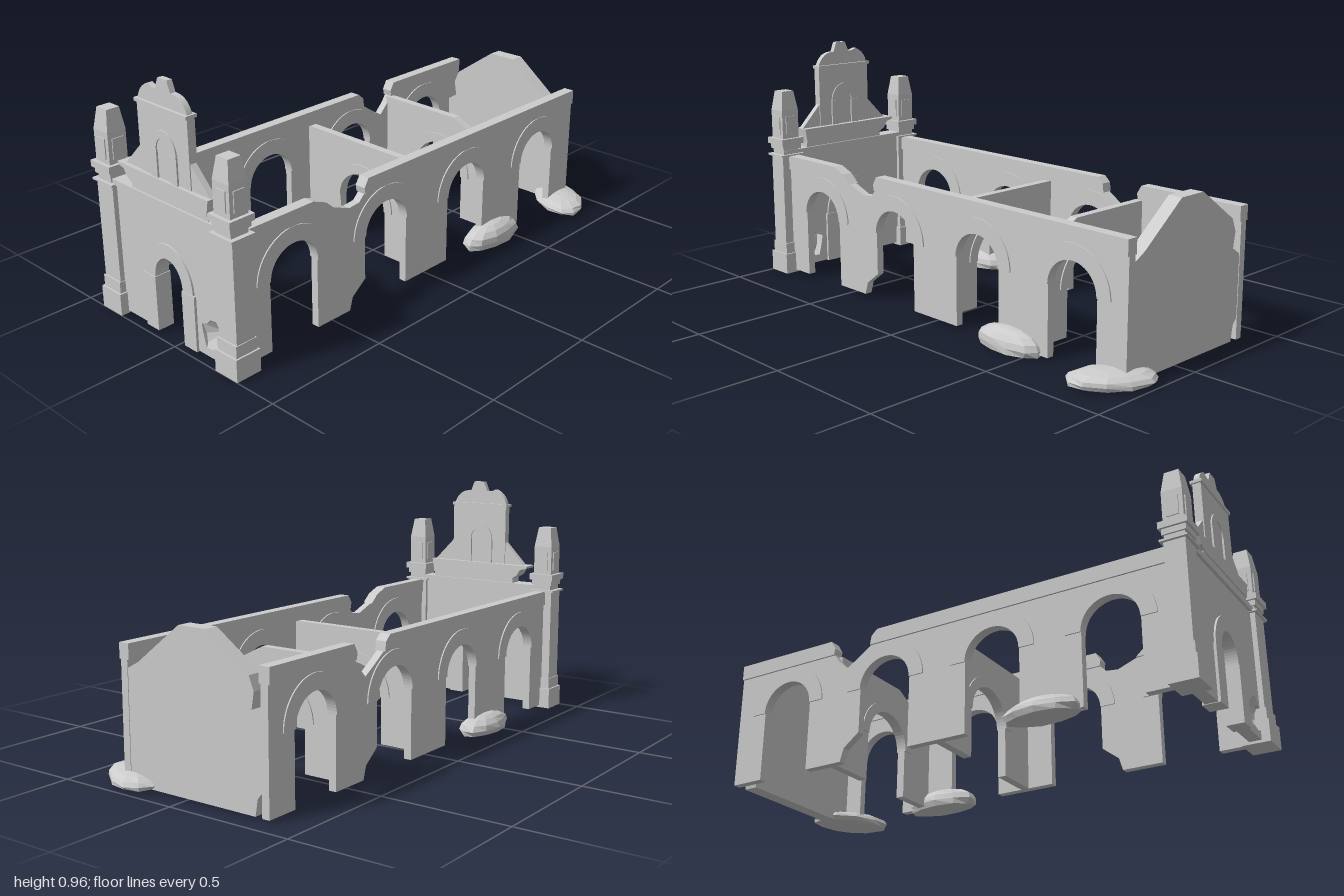
import * as THREE from 'three';

const mat = new THREE.MeshStandardMaterial({ color: 0xcccccc, flatShading: true });
const matOpen = new THREE.MeshStandardMaterial({ color: 0xcccccc, flatShading: true, side: THREE.DoubleSide });
const CX = -0.043; // symmetry axis of the building
const FZ = 0.945; // middle of the facade

const poly = (pts) => new THREE.Shape(pts.map(([x, y]) => new THREE.Vector2(x, y)));

// Flat shape extruded evenly about z = 0
function slab(shape, depth) {
  const geo = new THREE.ExtrudeGeometry(shape, { depth, bevelEnabled: false, curveSegments: 14 });
  return geo.translate(0, 0, -depth / 2);
}

function add(parent, name, geo, x = 0, y = 0, z = 0, material = mat) {
  const mesh = new THREE.Mesh(geo, material);
  mesh.name = name;
  mesh.position.set(x, y, z);
  parent.add(mesh);
  return mesh;
}

// Block given by its centre in plan and its bottom and top heights
function block(parent, name, x, z, w, d, y0, y1) {
  return add(parent, name, new THREE.BoxGeometry(w, y1 - y0, d), x, (y0 + y1) / 2, z);
}

// Curved band over an opening
function archBand(c, spring, ro, hо, ri, hi) {
  const s = new THREE.Shape();
  s.moveTo(c - ro, spring);
  s.absellipse(c, spring, ro, hо, Math.PI, 0, true);
  s.lineTo(c + ri, spring);
  s.absellipse(c, spring, ri, hi, 0, Math.PI, false);
  return s;
}

// Wall standing on the ground with arched doorways; top runs from right to left.
// chip = [opening index, side] breaks off the foot of one jamb.
function archedWall(u0, u1, openings, top, chip = []) {
  const s = new THREE.Shape();
  const y = 0.01;
  s.moveTo(u0, y);
  openings.forEach(({ c, r, h, spring }, i) => {
    if (chip[0] === i && chip[1] < 0) {
      s.lineTo(c - r - 0.08, y);
      s.lineTo(c - r - 0.065, 0.06);
      s.lineTo(c - r, 0.11);
    } else s.lineTo(c - r, y);
    s.lineTo(c - r, spring);
    s.absellipse(c, spring, r, h, Math.PI, 0, true);
    if (chip[0] === i && chip[1] > 0) {
      s.lineTo(c + r, 0.11);
      s.lineTo(c + r + 0.065, 0.06);
      s.lineTo(c + r + 0.08, y);
    } else s.lineTo(c + r, y);
  });
  s.lineTo(u1, y);
  top.forEach(([u, v]) => s.lineTo(u, v));
  return s;
}

// Long arcade with a broken gap in its top
function arcade(name, x, notch, capGap, chip) {
  const g = new THREE.Group();
  g.name = name;
  const centres = [-0.69, -0.23, 0.23, 0.69];
  const openings = centres.map((c) => ({ c, r: 0.11, h: 0.107, spring: 0.28 }));
  const top = [[0.92, 0.45], ...notch, [-0.93, 0.45]];
  const side = (geo) => geo.rotateY(-Math.PI / 2);
  add(g, 'arcadeWall', side(slab(archedWall(-0.93, 0.92, openings, top, chip), 0.03)));
  for (const c of centres) {
    add(g, 'archMoulding', side(slab(archBand(c, 0.28, 0.17, 0.168, 0.11, 0.107), 0.04)));
  }
  const [a, b] = [notch[0], notch[notch.length - 1]];
  const [capA, capB] = capGap;
  const front = [[a[0], 0.45], [0.92, 0.45], [0.92, 0.508], [capA, 0.508], [(capA + a[0]) / 2 - 0.01, 0.485]];
  const rear = [[-0.93, 0.45], [b[0], 0.45], [(capB + b[0]) / 2 + 0.012, 0.475], [capB, 0.508], [-0.93, 0.508]];
  for (const p of [front, rear]) add(g, 'arcadeCornice', side(slab(poly(p), 0.044)));
  g.position.x = x;
  return g;
}

// Corner pier with pedestal, capital and obelisk
function cornerPier(x) {
  const g = new THREE.Group();
  g.name = 'cornerPier';
  const tiers = [
    ['pedestal', 0.11, 0.105, 0, 0.085],
    ['pedestalStep', 0.096, 0.09, 0.085, 0.13],
    ['pierShaft', 0.09, 0.078, 0.13, 0.51],
    ['capitalSlab', 0.112, 0.1, 0.506, 0.514],
    ['capitalNeck', 0.076, 0.074, 0.514, 0.535],
    ['capitalBand', 0.09, 0.088, 0.535, 0.557],
    ['capitalTop', 0.108, 0.106, 0.557, 0.582],
  ];
  for (const [n, w, d, y0, y1] of tiers) block(g, n, 0, 0, w, d, y0, y1);
  block(g, 'obeliskBase', 0, 0, 0.08, 0.076, 0.582, 0.7);
  const taper = new THREE.CylinderGeometry(0.028 * Math.SQRT2, 0.04 * Math.SQRT2, 0.08, 4);
  add(g, 'obeliskTop', taper.rotateY(Math.PI / 4).scale(1, 1, 0.95), 0, 0.74, 0);
  block(g, 'obeliskPanel', 0, 0, 0.047, 0.084, 0.6, 0.676);
  block(g, 'obeliskSidePanel', 0, 0, 0.088, 0.045, 0.6, 0.676);
  g.position.set(x, 0, FZ + 0.0025);
  return g;
}

function facade() {
  const g = new THREE.Group();
  g.name = 'facade';
  const door = { c: CX, r: 0.075, h: 0.093, spring: 0.22 };
  const wall = archedWall(-0.35, 0.26, [door], [[0.26, 0.51], [-0.35, 0.51]]);
  // Breach low in the wall, with a ragged edge
  const rim = [];
  for (let i = 0; i < 14; i++) {
    const a = (i / 14) * Math.PI * 2;
    const r = 0.061 + 0.009 * Math.sin(i * 2.3);
    rim.push(new THREE.Vector2(0.18 + r * Math.cos(a), 0.096 + r * Math.sin(a)));
  }
  wall.holes.push(new THREE.Path(rim));
  add(g, 'facadeWall', slab(wall, 0.046), 0, 0, FZ);
  const crater = new THREE.ConeGeometry(0.072, 0.05, 11, 3, true).rotateX(-Math.PI / 2);
  add(g, 'crater', crater, 0.18, 0.096, FZ - 0.005, matOpen);

  // Doorway surround
  add(g, 'doorArch', slab(archBand(CX, 0.22, 0.13, 0.148, 0.075, 0.093), 0.06), 0, 0, FZ);
  for (const s of [-1, 1]) block(g, 'doorJamb', CX + s * 0.105, FZ, 0.066, 0.066, 0.008, 0.22);

  // Entablature and flared moulding, its left lower corner broken away
  block(g, 'entablature', CX - 0.002, FZ, 0.7, 0.07, 0.508, 0.53);
  block(g, 'atticStep', CX + 0.03, FZ, 0.4, 0.056, 0.53, 0.551);
  const flare = [[-0.21, 0.549], [0.187, 0.549], [0.197, 0.608], [-0.284, 0.608], [-0.278, 0.597], [-0.25, 0.59], [-0.235, 0.565]];
  add(g, 'flaredMoulding', slab(poly(flare), 0.066), 0, 0, FZ);

  // Bell gable with sloping shoulders
  block(g, 'gableWall', -0.031, 0.95, 0.262, 0.032, 0.606, 0.856);
  for (const s of [-1, 1]) {
    const x0 = -0.031 + s * 0.13;
    const p = [[x0, 0.606], [x0 + s * 0.094, 0.606], [x0, 0.702]];
    add(g, 'gableShoulder', slab(poly(s > 0 ? p : p.reverse()), 0.024), 0, 0, 0.95);
  }
  block(g, 'gableCornice', -0.033, 0.95, 0.272, 0.046, 0.856, 0.868);
  const crest = new THREE.Shape();
  crest.moveTo(-0.161, 0.866);
  crest.quadraticCurveTo(-0.152, 0.91, -0.105, 0.93);
  crest.quadraticCurveTo(-0.08, 0.918, -0.064, 0.922);
  crest.lineTo(-0.047, 0.962);
  crest.lineTo(0, 0.962);
  crest.lineTo(0.016, 0.922);
  crest.quadraticCurveTo(0.075, 0.925, 0.097, 0.866);
  add(g, 'gableCrest', slab(crest, 0.022), 0, 0, 0.95);

  // Blind niche framed on both faces
  const nx = -0.03;
  add(g, 'nicheArch', slab(archBand(nx, 0.71, 0.067, 0.075, 0.038, 0.047), 0.042), 0, 0, 0.95);
  for (const s of [-1, 1]) block(g, 'nicheJamb', nx + s * 0.052, 0.95, 0.034, 0.046, 0.606, 0.711);

  g.add(cornerPier(-0.36), cornerPier(0.274));
  return g;
}

// Low heap of fallen stone, flat underneath
function rubble(parent, x, z, rx, rz, h, turn) {
  const geo = new THREE.SphereGeometry(1, 11, 8);
  const p = geo.attributes.position;
  for (let i = 0; i < p.count; i++) {
    const [a, b, c] = [p.getX(i), p.getY(i), p.getZ(i)];
    const k = 1 + 0.05 * Math.sin(5 * a + 3 * c + 4 * b);
    p.setXYZ(i, a * rx * k, Math.max(0.002, 0.025 + b * (h - 0.025)), c * rz * k);
  }
  geo.computeVertexNormals();
  add(parent, 'rubble', geo, x, 0, z).rotation.y = turn;
}

export function createModel() {
  const model = new THREE.Group();
  model.name = 'ruinedChurch';
  model.add(facade());

  // Side arcades
  model.add(arcade('rightArcade', 0.266,
    [[0.5, 0.45], [0.42, 0.42], [0.37, 0.425], [0.345, 0.45]], [0.6, 0.33], [2, 1]));
  model.add(arcade('leftArcade', -0.355,
    [[-0.3, 0.45], [-0.36, 0.41], [-0.41, 0.38], [-0.45, 0.42], [-0.47, 0.45]], [-0.27, -0.485], [1, -1]));

  // Cross walls with a central arch
  const inner = { c: CX, r: 0.12, h: 0.12, spring: 0.2 };
  const tops = {
    0: [[0.255, 0.45], [-0.345, 0.45]],
    '-0.47': [[0.255, 0.38], [0.2, 0.37], [0.11, 0.41], [0.03, 0.45], [-0.345, 0.45]],
  };
  for (const [z, top] of Object.entries(tops)) {
    add(model, 'crossWall', slab(archedWall(-0.345, 0.255, [inner], top), 0.032), 0, 0, +z);
    add(model, 'crossArch', slab(archBand(CX, 0.2, 0.16, 0.16, 0.12, 0.12), 0.042), 0, 0, +z);
  }

  // Gabled rear wall
  const rear = [[-0.31, 0.01], [0.255, 0.01], [0.255, 0.42], [0.2, 0.45], [0.01, 0.597], [-0.11, 0.597],
    [-0.29, 0.47], [-0.31, 0.42], [-0.3, 0.36], [-0.345, 0.33], [-0.345, 0.1], [-0.32, 0.07]];
  add(model, 'rearWall', slab(poly(rear), 0.055), 0, 0, -0.9);

  rubble(model, -0.365, 0.425, 0.068, 0.148, 0.078, 0);
  rubble(model, 0.285, -0.4, 0.068, 0.155, 0.085, 0);
  rubble(model, 0.285, -0.876, 0.095, 0.16, 0.062, 0.95);
  return model;
}
